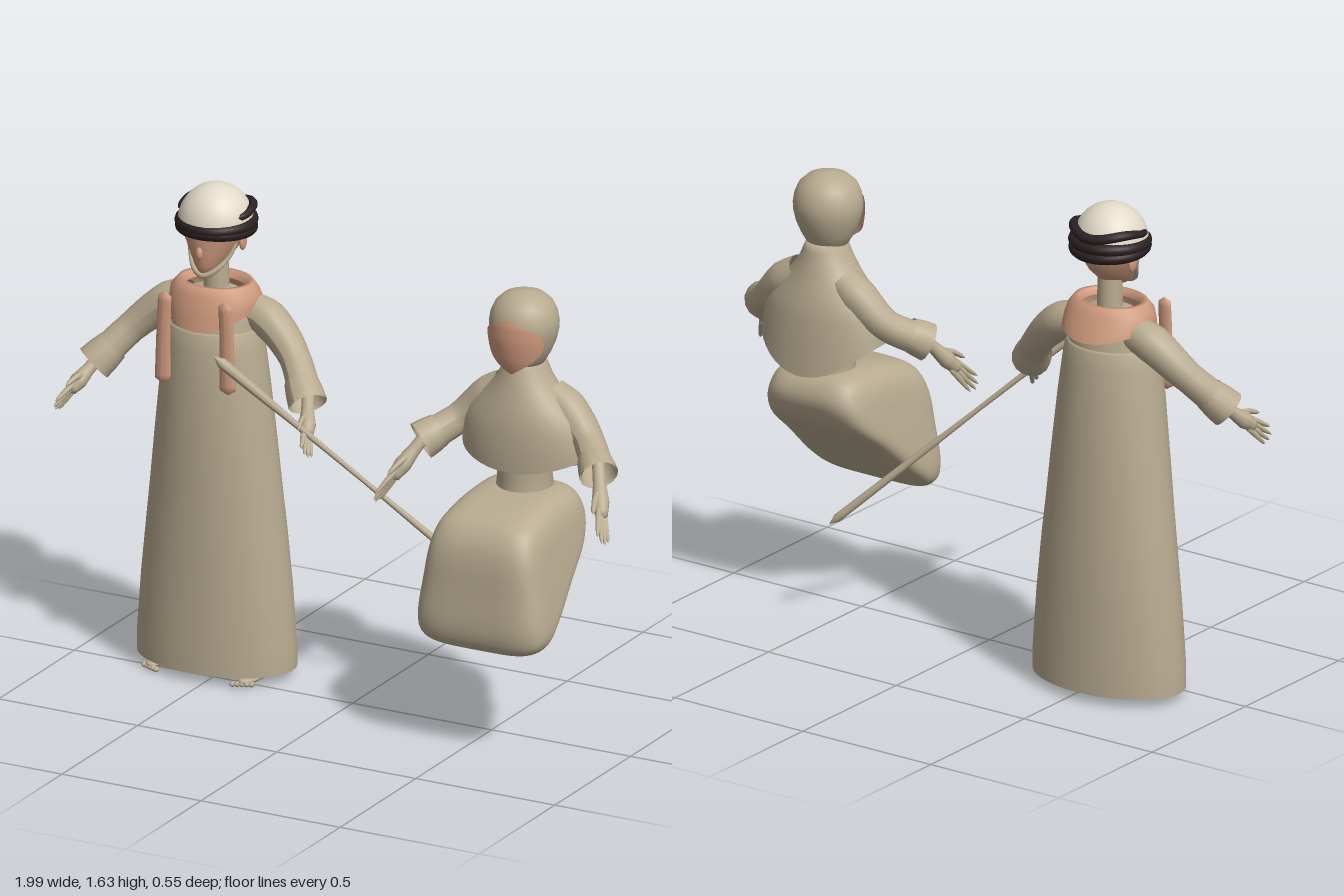
import * as THREE from 'three';

const mat = (name, color) => new THREE.MeshStandardMaterial({ name, color, side: THREE.DoubleSide });
const V = (p) => new THREE.Vector3(...p);

// Smooth grid, closed around u and open along v
function surface(nu, nv, fn) {
  const pos = [], idx = [];
  for (let i = 0; i <= nv; i++) {
    for (let j = 0; j < nu; j++) {
      pos.push(...fn(j / nu, i / nv));
      if (i === nv) continue;
      const a = i * nu + j, b = i * nu + (j + 1) % nu;
      idx.push(a, b, a + nu, b, b + nu, a + nu);
    }
  }
  const g = new THREE.BufferGeometry();
  g.setAttribute('position', new THREE.Float32BufferAttribute(pos, 3));
  g.setIndex(idx);
  g.computeVertexNormals();
  return g;
}

// Loft through oval rings: [halfWidth, zFront, zBack, ySide, yFront, yBack], bottom to top
function loft(rings, nu = 40) {
  const n = rings.length - 1;
  return surface(nu, n, (u, v) => {
    const [rx, zf, zb, ys, yf = ys, yb = ys] = rings[Math.round(v * n)];
    const s = Math.sin(u * Math.PI * 2), c = Math.cos(u * Math.PI * 2);
    const y = ys * s * s + (c > 0 ? yf : yb) * c * c;
    return [rx * s, y, (zf + zb) / 2 + (zf - zb) / 2 * c];
  });
}

// Value at t on evenly spaced stops
function mix(list, t) {
  const f = t * (list.length - 1), i = Math.min(Math.floor(f), list.length - 2);
  return THREE.MathUtils.lerp(list[i], list[i + 1], f - i);
}

// Tube whose radius follows a list; closed ends shrink to a point
function taper(points, radii, closed = true, seg = 20, sides = 14) {
  const curve = new THREE.CatmullRomCurve3(points.map(p => p.isVector3 ? p : V(p)));
  const g = new THREE.TubeGeometry(curve, seg, 1, sides);
  const p = g.attributes.position, v = new THREE.Vector3();
  for (let i = 0; i <= seg; i++) {
    const c = curve.getPointAt(i / seg);
    const r = closed && (i === 0 || i === seg) ? 0.0005 : mix(radii, i / seg);
    for (let j = 0; j <= sides; j++) {
      const k = i * (sides + 1) + j;
      v.fromBufferAttribute(p, k).sub(c).multiplyScalar(r).add(c);
      p.setXYZ(k, v.x, v.y, v.z);
    }
  }
  g.computeVertexNormals();
  return g;
}

export function createModel() {
  const cloth = mat('tan cloth', 0xb8ab90), skin = mat('terracotta', 0xcf9a7e);
  const white = mat('cream cap', 0xe2dac8), dark = mat('dark band', 0x2b2122);
  const root = new THREE.Group();
  const add = (parent, name, geo, material, pos = [0, 0, 0]) => {
    const m = new THREE.Mesh(geo, material);
    m.name = name;
    m.position.set(...pos);
    parent.add(m);
    return m;
  };

  // Pair of mirrored arms with sleeve, cuff, palm and fingers
  function arms(parent, path, tip) {
    for (const side of [1, -1]) {
      const arm = new THREE.Group();
      arm.name = side > 0 ? 'leftArm' : 'rightArm';
      arm.scale.x = side;
      parent.add(arm);
      add(arm, 'sleeve', taper(path, [0.055, 0.062, 0.056, 0.05, 0.052, 0.058], false), cloth);
      const end = V(path[path.length - 1]), elbow = V(path[path.length - 2]);
      const cuffTop = elbow.clone().lerp(end, 0.55);
      add(arm, 'cuff', taper([cuffTop, cuffTop.clone().lerp(end, 0.5), end], [0.054, 0.06, 0.063], false, 4), cloth);
      const d = V(tip).sub(end), at = t => end.clone().addScaledVector(d, t);
      const across = new THREE.Vector3().crossVectors(d, V([1, 0.3, 0])).normalize();
      add(arm, 'palm', taper([at(-0.35), at(0.1), at(0.35), at(0.62)], [0.024, 0.02, 0.021, 0.028, 0.018]), cloth);
      for (let f = 0; f < 4; f++) {
        const k = (f - 1.5) / 1.5, reach = 1 - 0.1 * Math.abs(k);
        add(arm, 'finger', taper([
          at(0.45).addScaledVector(across, k * 0.016),
          at(0.72).addScaledVector(across, k * 0.025),
          at(reach).addScaledVector(across, k * 0.032)], [0.01, 0.009, 0.005], true, 8, 8), cloth);
      }
      add(arm, 'thumb', taper([at(0.2), at(0.4).addScaledVector(across, 0.035),
        at(0.62).addScaledVector(across, 0.052)], [0.013, 0.01, 0.006], true, 8, 8), cloth);
    }
  }

  // ---- Standing figure ----
  const man = new THREE.Group();
  man.name = 'standingFigure';
  man.position.x = -0.54;
  root.add(man);
  add(man, 'robe', loft([
    [0.272, 0.078, -0.275, 0.03], [0.272, 0.077, -0.273, 0.1], [0.257, 0.072, -0.268, 0.3],
    [0.236, 0.068, -0.262, 0.5], [0.222, 0.067, -0.255, 0.62], [0.205, 0.066, -0.247, 0.78],
    [0.182, 0.064, -0.235, 0.98], [0.167, 0.055, -0.222, 1.1], [0.156, 0.046, -0.214, 1.16],
    [0.146, 0.036, -0.204, 1.165]]), cloth);
  add(man, 'shoulders', loft([
    [0.145, 0.036, -0.205, 1.1], [0.14, 0.03, -0.2, 1.2], [0.125, 0.01, -0.185, 1.25],
    [0.08, -0.03, -0.15, 1.275], [0.04, -0.06, -0.13, 1.285]]), cloth);
  add(man, 'neck', new THREE.CylinderGeometry(0.038, 0.042, 0.13, 20), cloth, [0, 1.335, -0.095]);
  add(man, 'collar', loft([
    [0.152, 0.052, -0.245, 1.23, 1.17, 1.2], [0.153, 0.045, -0.23, 1.25, 1.21, 1.235],
    [0.148, 0.03, -0.205, 1.28], [0.125, 0.01, -0.19, 1.308], [0.108, -0.005, -0.175, 1.308],
    [0.1, -0.01, -0.165, 1.285]]), skin);
  for (const [x, tilt] of [[-0.107, 0.008], [0.107, -0.012]]) {
    const strip = add(man, 'hangingStrip', taper([[x, 1.29, 0], [x - tilt / 2, 1.2, 0], [x - tilt, 0.98, 0]],
      [0.023, 0.024, 0.026, 0.028]), skin, [0, 0, 0.05]);
    strip.scale.z = 0.55;
  }
  arms(man, [[0.1, 1.22, -0.11], [0.17, 1.2, -0.11], [0.28, 1.11, -0.08], [0.385, 0.985, 0.01]], [0.455, 0.86, 0.15]);

  // Head, ears, beard line
  add(man, 'head', loft([
    [0.004, -0.02, -0.04, 1.345], [0.026, 0.002, -0.08, 1.352], [0.048, 0.012, -0.13, 1.378],
    [0.07, 0.018, -0.17, 1.415], [0.092, 0.02, -0.19, 1.455], [0.11, 0.022, -0.2, 1.5]], 28), skin);
  const nose = add(man, 'nose', new THREE.SphereGeometry(0.012, 12, 8), skin, [0, 1.425, 0.02]);
  nose.scale.y = 1.8;
  add(man, 'beard', taper([[-0.088, 1.46, -0.07], [-0.07, 1.405, -0.05], [-0.034, 1.36, -0.01], [0, 1.345, 0],
    [0.034, 1.36, -0.01], [0.07, 1.405, -0.05], [0.088, 1.46, -0.07]], [0.006, 0.01, 0.006], true, 24, 8), cloth);
  for (const s of [-1, 1]) {
    const ear = add(man, 'ear', new THREE.SphereGeometry(0.024, 14, 10), skin, [s * 0.092, 1.445, -0.1]);
    ear.scale.set(0.4, 1.2, 0.8);
  }

  // Cap and wound head bands
  const cap = add(man, 'cap', new THREE.SphereGeometry(0.122, 36, 16, 0, Math.PI * 2, 0, Math.PI * 0.55), white, [0, 1.498, -0.09]);
  cap.scale.y = 1.07;
  for (const [y, tilt, r] of [[1.507, 0.03, 0.113], [1.486, -0.05, 0.112]]) {
    const band = add(man, 'headBand', new THREE.TorusGeometry(r, 0.02, 12, 44), dark, [0, y, -0.094]);
    band.rotation.x = Math.PI / 2 + tilt;
  }
  const wrap = [];
  for (let i = 0; i <= 12; i++) {
    const a = -0.45 + i / 12 * (Math.PI + 0.9);
    wrap.push([0.115 * Math.cos(a), 1.548 + 0.008 * Math.sin(a * 3), -0.094 - 0.113 * Math.sin(a)]);
  }
  add(man, 'upperBand', taper(wrap, [0.01, 0.016, 0.017, 0.016, 0.01], true, 36, 10), dark);

  // Bare feet
  for (const s of [-1, 1]) {
    const foot = add(man, 'foot', new THREE.SphereGeometry(1, 20, 12), cloth, [s * 0.165, 0.017, -0.045]);
    foot.scale.set(0.036, 0.017, 0.095);
    for (let i = 0; i < 5; i++) {
      add(man, 'toe', new THREE.SphereGeometry(0.009, 10, 8), cloth,
        [s * (0.137 + i * 0.014), 0.01, 0.051 - i * 0.006]).scale.z = 1.5;
    }
  }

  // Long staff, thinner at the middle
  add(root, 'staff', taper([[-0.37, 1.18, 0.235], [0.055, 0.763, 0.018], [0.48, 0.345, -0.2]],
    [0.018, 0.016, 0.011, 0.009, 0.008, 0.01, 0.012, 0.013, 0.014], true, 40), cloth);

  // ---- Seated figure ----
  const woman = new THREE.Group();
  woman.name = 'seatedFigure';
  woman.position.x = 0.58;
  root.add(woman);
  const hood = [[0.04, 1.215], [0.066, 1.24], [0.086, 1.275], [0.103, 1.315], [0.111, 1.35], [0.112, 1.375],
    [0.107, 1.405], [0.093, 1.436], [0.066, 1.461], [0.034, 1.473], [0, 1.476]];
  add(woman, 'hood', new THREE.LatheGeometry(hood.map(p => new THREE.Vector2(...p)), 40), cloth, [0, 0, -0.07]);

  // Pointed face panel lying just over the hood
  const face = new THREE.PlaneGeometry(1, 1, 20, 20), fp = face.attributes.position;
  for (let i = 0; i < fp.count; i++) {
    const v = fp.getY(i) + 0.5;
    const a = fp.getX(i) * 2 * mix([0.05, 0.42, 0.75, 0.98, 1.08, 1.05, 0.9, 0.62, 0.05], v);
    const r = mix([0.088, 0.098, 0.105, 0.11, 0.114, 0.117, 0.117, 0.1165, 0.111], v);
    fp.setXYZ(i, r * Math.sin(a), 1.22 + 0.185 * v, -0.07 + r * Math.cos(a));
  }
  face.computeVertexNormals();
  add(woman, 'face', face, skin);

  add(woman, 'cape', loft([
    [0.222, 0.043, -0.228, 0.94, 0.895, 0.83], [0.22, 0.046, -0.22, 0.975, 0.95, 0.92],
    [0.212, 0.045, -0.212, 1.02], [0.192, 0.04, -0.202, 1.065], [0.158, 0.032, -0.19, 1.105],
    [0.118, 0.02, -0.176, 1.15], [0.086, 0.008, -0.163, 1.195], [0.073, 0, -0.155, 1.225],
    [0.062, -0.008, -0.148, 1.248], [0.02, -0.05, -0.1, 1.25]]), cloth);
  add(woman, 'waist', loft([[0.095, 0.02, -0.17, 0.79], [0.088, 0.012, -0.16, 0.86], [0.1, 0.02, -0.17, 0.96],
    [0.12, 0.025, -0.175, 1.06]]), cloth);
  arms(woman, [[0.08, 1.13, -0.1], [0.14, 1.09, -0.1], [0.225, 1.01, -0.075], [0.32, 0.94, 0.025]], [0.415, 0.76, 0.17]);

  // Rounded skirt over bent knees: side profile (z, y) swept across the width
  const profile = new THREE.CatmullRomCurve3([
    [-0.2, 0.75], [-0.16, 0.815], [-0.02, 0.825], [0.12, 0.805], [0.21, 0.77], [0.255, 0.7], [0.272, 0.55],
    [0.276, 0.42], [0.255, 0.37], [0.2, 0.358], [0.13, 0.4], [-0.03, 0.54], [-0.17, 0.665]
  ].map(([z, y]) => new THREE.Vector3(0, y, z)), true);
  add(woman, 'skirt', surface(64, 32, (u, v) => {
    const a = (v - 0.5) * Math.PI, p = profile.getPoint(u);
    const s = Math.pow(Math.max(Math.cos(a), 0), 0.35);
    const t = Math.sign(Math.sin(a)) * Math.pow(Math.abs(Math.sin(a)), 0.45);
    const y = 0.6 + (p.y - 0.6) * s, z = 0.07 + (p.z - 0.07) * s;
    return [t * (0.242 - 0.16 * (y - 0.4)), y, z];
  }), cloth);

  return root;
}
